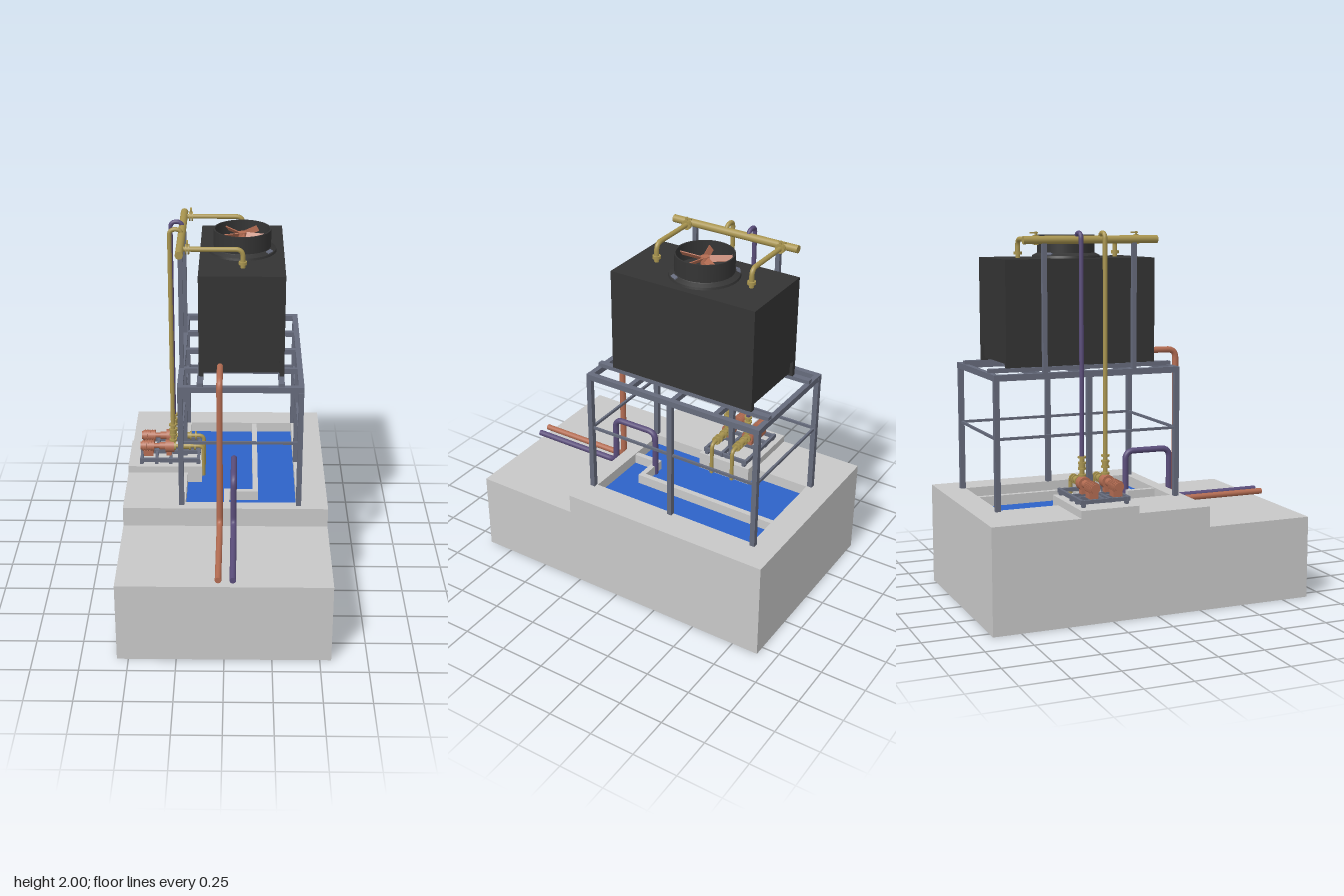
import * as THREE from 'three';

export function createModel() {
  const root = new THREE.Group();
  root.name = 'coolingTowerPlant';

  const mat = (name, color, double) => {
    const m = new THREE.MeshStandardMaterial({ color });
    m.name = name;
    if (double) m.side = THREE.DoubleSide;
    return m;
  };
  const concrete = mat('concrete', 0xc8c8c8);
  const water = mat('water', 0x2d62c8);
  const steel = mat('steel', 0x666b7c);
  const black = mat('black cladding', 0x343434, true);
  const brass = mat('brass', 0xa8944f);
  const copper = mat('copper', 0xb36c52, true);
  const purple = mat('purple pipe', 0x5a4d7a);

  const V = (x, y, z) => new THREE.Vector3(x, y, z);
  const add = (name, geo, material, parent = root) => {
    const m = new THREE.Mesh(geo, material);
    m.name = name;
    parent.add(m);
    return m;
  };
  // Box given by its extents on each axis
  const box = (name, material, x0, x1, y0, y1, z0, z1, parent) => {
    const g = new THREE.BoxGeometry(x1 - x0, y1 - y0, z1 - z0);
    g.translate((x0 + x1) / 2, (y0 + y1) / 2, (z0 + z1) / 2);
    return add(name, g, material, parent);
  };
  // Capped cylinder between two points
  const rod = (name, material, a, b, r, parent, sides = 20) => {
    const d = b.clone().sub(a);
    const m = add(name, new THREE.CylinderGeometry(r, r, d.length(), sides), material, parent);
    m.position.copy(a).add(b).multiplyScalar(0.5);
    m.quaternion.setFromUnitVectors(V(0, 1, 0), d.normalize());
    return m;
  };
  // Pipe along a polyline with rounded corners and closed ends
  const pipe = (name, material, coords, r, bend, parent = root) => {
    const pts = coords.map((c) => V(...c));
    const path = new THREE.CurvePath();
    let last = pts[0];
    for (let i = 1; i < pts.length - 1; i++) {
      const p = pts[i];
      const a = p.clone().add(pts[i - 1].clone().sub(p).setLength(bend));
      const b = p.clone().add(pts[i + 1].clone().sub(p).setLength(bend));
      path.add(new THREE.LineCurve3(last, a));
      path.add(new THREE.QuadraticBezierCurve3(a, p, b));
      last = b;
    }
    const end = pts[pts.length - 1];
    path.add(new THREE.LineCurve3(last, end));
    const g = new THREE.Group();
    g.name = name;
    parent.add(g);
    add(name + 'Tube', new THREE.TubeGeometry(path, 120, r, 14, false), material, g);
    [[pts[0], pts[1]], [end, pts[pts.length - 2]]].forEach(([a, b]) =>
      rod(name + 'End', material, a, a.clone().add(b.clone().sub(a).setLength(0.004)), r, g, 14));
    return g;
  };

  // Concrete foundation with a basin cut through it, floor set above the ground
  const slab = new THREE.Shape([[-0.56, -0.3], [0.56, -0.3], [0.56, 0.9], [-0.56, 0.9]]
    .map(([x, y]) => new THREE.Vector2(x, y)));
  slab.holes.push(new THREE.Path([[-0.22, -0.23], [-0.22, 0.75], [0.39, 0.75], [0.39, -0.23]]
    .map(([x, y]) => new THREE.Vector2(x, y))));
  const slabGeo = new THREE.ExtrudeGeometry(slab, { depth: 0.56, bevelEnabled: false });
  slabGeo.rotateX(-Math.PI / 2);
  add('foundation', slabGeo, concrete);
  box('frontStep', concrete, -0.56, 0.56, 0, 0.45, 0.3, 0.9);
  box('basinFloor', concrete, -0.22, 0.39, 0.05, 0.3, -0.75, 0.23);
  box('basinWater', water, -0.22, 0.39, 0.3, 0.5, -0.75, 0.23);
  box('basinDivider', concrete, 0.15, 0.18, 0.3, 0.555, -0.75, 0.1);
  box('basinDividerReturn', concrete, -0.01, 0.18, 0.3, 0.555, 0.07, 0.1);
  box('basinDividerFront', concrete, -0.01, 0.02, 0.3, 0.555, 0.1, 0.23);
  box('pumpPlinth', concrete, -0.56, -0.14, 0.56, 0.6, -0.425, -0.105);
  box('pumpPlinthFooting', concrete, -0.22, -0.14, 0.3, 0.56, -0.425, -0.105);

  // Steel support frame
  const frame = new THREE.Group();
  frame.name = 'supportFrame';
  root.add(frame);
  for (const x of [-0.24, 0.4]) {
    for (const z of [0.25, -0.255, -0.765])
      box('frameLeg', steel, x - 0.014, x + 0.014, 0.56, 1.24, z - 0.014, z + 0.014, frame);
    box('sideRail', steel, x - 0.006, x + 0.006, 0.93, 0.944, -0.765, 0.25, frame);
    box('sideBeam', steel, x - 0.015, x + 0.015, 1.238, 1.27, -0.78, 0.262, frame);
  }
  for (const z of [0.247, -0.765]) {
    box('endRail', steel, -0.24, 0.4, 0.93, 0.944, z - 0.006, z + 0.006, frame);
    box('endBeam', steel, -0.225, 0.385, 1.238, 1.27, z - 0.014, z + 0.014, frame);
  }
  for (const z of [0.005, -0.26, -0.515])
    box('crossBeam', steel, -0.225, 0.385, 1.24, 1.268, z - 0.013, z + 0.013, frame);
  for (const x of [-0.135, 0.295])
    box('towerBearer', steel, x - 0.016, x + 0.016, 1.268, 1.29, -0.775, 0.258, frame);
  for (const z of [0, -0.5]) {
    box('headerPost', steel, -0.252, -0.228, 1.27, 1.94, z - 0.012, z + 0.012, frame);
  }

  // Cooling tower casing
  const tower = new THREE.Group();
  tower.name = 'coolingTower';
  root.add(tower);
  box('casing', black, -0.143, 0.31, 1.38, 1.85, -0.677, 0.164, tower);
  box('leftSkirt', black, 0.285, 0.31, 1.29, 1.38, -0.677, 0.164, tower);
  box('rightSkirt', black, -0.143, -0.118, 1.29, 1.38, -0.677, 0.164, tower);
  box('sumpPan', black, -0.118, 0.285, 1.305, 1.38, -0.66, 0.147, tower);

  // Fan stack with flared base
  const fx = 0.085, fz = -0.257;
  const profile = [[0.185, 1.85], [0.182, 1.862], [0.158, 1.874], [0.155, 1.876], [0.155, 1.97],
    [0.147, 1.97], [0.147, 1.876], [0, 1.876]].map(([r, y]) => new THREE.Vector2(r, y));
  const pieces = new THREE.Group();
  pieces.name = 'fan';
  pieces.position.set(fx, 0, fz);
  tower.add(pieces);
  for (let i = 0; i < profile.length - 1; i++)
    add('fanStack', new THREE.LatheGeometry([profile[i], profile[i + 1]], 40), black, pieces);
  rod('fanHub', copper, V(0, 1.876, 0), V(0, 1.95, 0), 0.022, pieces);
  for (let i = 0; i < 5; i++) {
    const arm = new THREE.Group();
    arm.name = 'fanBladeArm';
    arm.rotation.y = -Math.PI / 2 + i * Math.PI * 2 / 5;
    pieces.add(arm);
    const blade = add('fanBlade', new THREE.BoxGeometry(0.12, 0.005, 0.034), copper, arm);
    blade.position.set(0.08, 1.935, 0);
    blade.rotation.x = 0.9;
  }
  for (const a of [2.2, -0.55]) {
    const tag = add('stackPlate', new THREE.BoxGeometry(0.02, 0.006, 0.045), steel, pieces);
    tag.position.set(Math.cos(a) * 0.17, 1.871, -Math.sin(a) * 0.17);
    tag.rotation.y = a;
    tag.rotateZ(-0.45);
  }

  // Distribution header and the two inlet branches
  const header = new THREE.Group();
  header.name = 'distributionHeader';
  root.add(header);
  rod('headerPipe', brass, V(-0.24, 1.95, -0.612), V(-0.24, 1.95, 0.132), 0.021, header);
  for (const z of [0.03, -0.53]) {
    pipe('inletBranch', brass, [[-0.24, 1.95, z], [0.088, 1.95, z], [0.088, 1.85, z]], 0.013, 0.04, header);
    rod('inletFlange', brass, V(0.088, 1.868, z), V(0.088, 1.884, z), 0.022, header);
    for (const x of [-0.212, -0.198])
      rod('valveFlange', brass, V(x, 1.95, z), V(x + 0.008, 1.95, z), 0.026, header);
    rod('valveStem', brass, V(-0.201, 1.95, z), V(-0.201, 1.992, z), 0.006, header);
    box('valveHandle', brass, -0.206, -0.196, 1.982, 1.99, z - 0.03, z + 0.01, header);
  }

  // Supply and return pipes at the front
  pipe('returnPipe', copper, [[-0.03, 0.49, 0.9], [-0.03, 0.49, 0.345], [-0.03, 1.34, 0.345], [-0.03, 1.34, 0.145]], 0.017, 0.05);
  pipe('suctionPipe', purple, [[0.045, 0.49, 0.9], [0.045, 0.49, 0.345], [0.045, 0.77, 0.345],
    [0.045, 0.77, 0.076], [0.045, 0.4, 0.076]], 0.017, 0.05);

  // Pump skid
  const skid = new THREE.Group();
  skid.name = 'pumpSkid';
  root.add(skid);
  for (const z of [-0.395, -0.275, -0.24, -0.135])
    box('skidRail', steel, -0.495, -0.15, 0.615, 0.638, z - 0.008, z + 0.008, skid);
  for (const x of [-0.485, -0.4, -0.32, -0.16]) {
    box('skidCrossbar', steel, x - 0.008, x + 0.008, 0.616, 0.636, -0.395, -0.135, skid);
    for (const z of [-0.385, -0.145])
      box('skidFoot', steel, x - 0.01, x + 0.01, 0.6, 0.616, z - 0.01, z + 0.01, skid);
  }

  // Two pumps, each with a riser to the header and a suction line to the basin
  [[-0.19, brass], [-0.322, purple]].forEach(([z, riserMat]) => {
    const pump = new THREE.Group();
    pump.name = 'pump';
    root.add(pump);
    const along = (name, m, x0, x1, r) => rod(name, m, V(x0, 0.69, z), V(x1, 0.69, z), r, pump);
    along('motor', copper, -0.485, -0.415, 0.029);
    for (let i = 0; i < 5; i++) along('motorFin', copper, -0.478 + i * 0.014, -0.473 + i * 0.014, 0.033);
    along('motorCap', copper, -0.493, -0.485, 0.024);
    along('shaft', copper, -0.415, -0.36, 0.014);
    along('bearingHousing', copper, -0.385, -0.35, 0.022);
    along('volute', copper, -0.35, -0.3, 0.036);
    box('motorFoot', copper, -0.475, -0.42, 0.636, 0.67, z - 0.025, z + 0.025, pump);
    box('pumpFoot', copper, -0.345, -0.315, 0.636, 0.67, z - 0.02, z + 0.02, pump);
    for (const x of [-0.3, -0.262, -0.215, -0.185]) along('suctionFlange', brass, x, x + 0.01, 0.025);
    along('strainer', brass, -0.262, -0.21, 0.018);
    pipe('suctionLine', brass, [[-0.3, 0.69, z], [-0.133, 0.69, z], [-0.133, 0.45, z]], 0.011, 0.03, pump);

    // Riser with valve bodies, arching over into the header
    pipe('riser', riserMat, [[-0.305, 0.82, z], [-0.305, 1.985, z], [-0.24, 1.985, z], [-0.24, 1.94, z]], 0.012, 0.032, pump);
    rod('riserBase', brass, V(-0.305, 0.69, z), V(-0.305, 0.83, z), 0.012, pump);
    for (const y of [0.725, 0.76, 0.79, 0.82])
      rod('riserFlange', brass, V(-0.305, y, z), V(-0.305, y + 0.01, z), 0.022, pump);
    rod('checkValve', brass, V(-0.305, 0.765, z), V(-0.305, 0.795, z), 0.018, pump);
  });

  return root;
}
